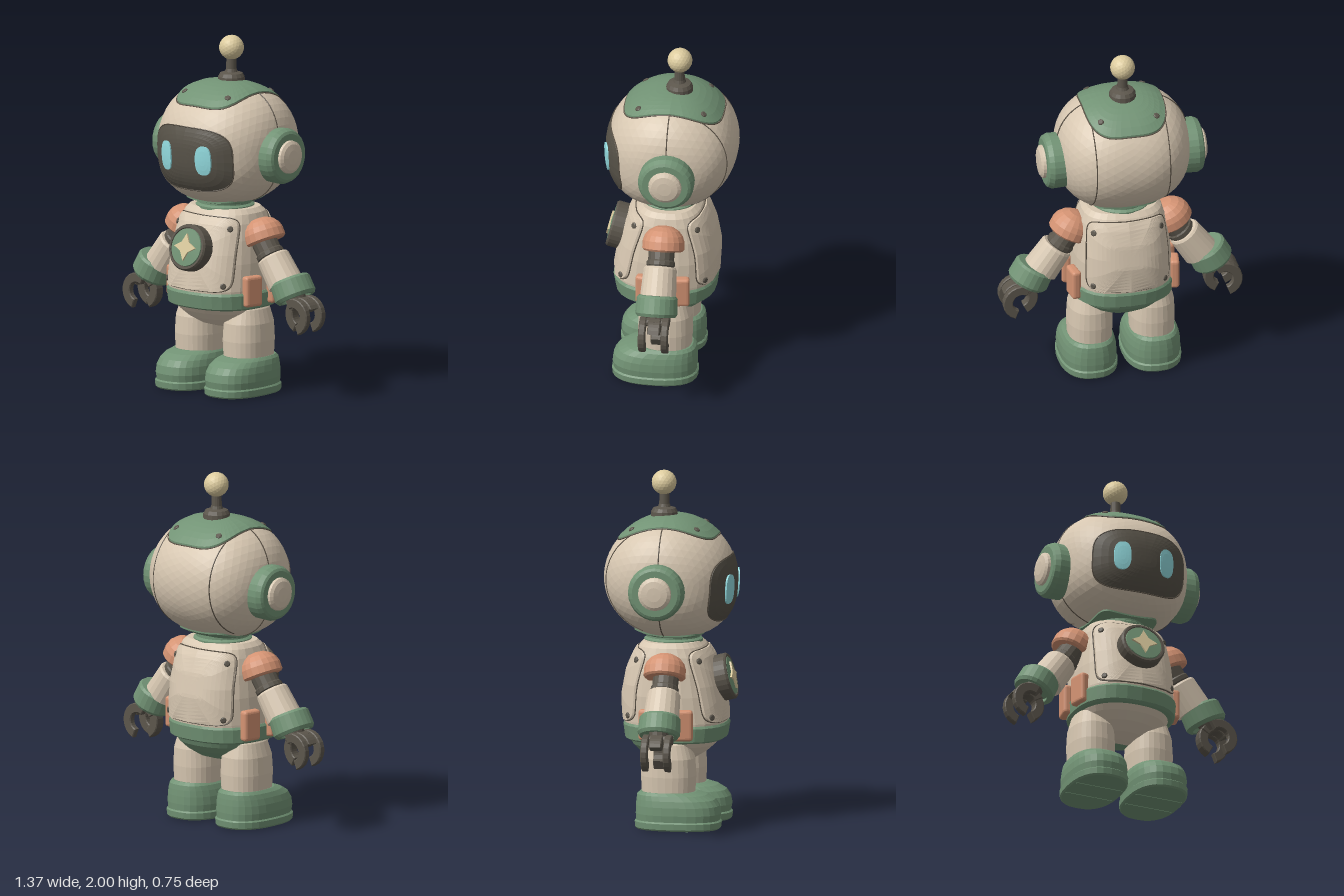
import * as THREE from 'three';
import { RoundedBoxGeometry } from 'three/addons/geometries/RoundedBoxGeometry.js';

const V = (x, y, z) => new THREE.Vector3(x, y, z);
const UP = V(0, 1, 0);
const spow = (v, e) => Math.sign(v) * Math.pow(Math.abs(v), e);

// Faceted normals for every part
function flat(geo) {
  const g = geo.index ? geo.toNonIndexed() : geo;
  g.deleteAttribute('normal');
  g.computeVertexNormals();
  return g;
}

function gridGeometry(rows) {
  const n = rows[0].length, idx = [];
  for (let i = 0; i < rows.length - 1; i++) for (let j = 0; j < n - 1; j++) {
    const a = i * n + j, b = a + n;
    idx.push(a, b, a + 1, b, b + 1, a + 1);
  }
  const g = new THREE.BufferGeometry().setFromPoints(rows.flat());
  g.setIndex(idx);
  return g;
}

// Superelliptic sections [y, halfWidth, frontZ, backZ] stacked upward, closed at both ends
function loft(sections, m = 2.4, a0 = 0, a1 = Math.PI * 2, n = 28) {
  const first = sections[0], last = sections[sections.length - 1];
  const end = s => [s[0], 0, (s[2] + s[3]) / 2, (s[2] + s[3]) / 2];
  return gridGeometry([end(first), ...sections, end(last)].map(([y, w, f, b]) =>
    Array.from({ length: n + 1 }, (_, j) => {
      const t = a0 + (a1 - a0) * j / n;
      return V(w * spow(Math.cos(t), 2 / m), y, (f + b) / 2 + (f - b) / 2 * spow(Math.sin(t), 2 / m));
    })));
}

// Rounded-rectangle outline, then a panel following a surface fn(u, v, offset)
function outline(hu, hv, e, n, r = 1) {
  return Array.from({ length: n + 1 }, (_, j) => {
    const t = j / n * Math.PI * 2;
    return [r * hu * spow(Math.cos(t), 2 / e), r * hv * spow(Math.sin(t), 2 / e)];
  });
}
function panel(fn, hu, hv, e, off, rings = 8, n = 48) {
  const rows = [];
  for (let k = 0; k <= rings; k++) rows.push(outline(hu, hv, e, n, k / rings).map(([u, v]) => fn(u, v, off)));
  rows.push(outline(hu, hv, e, n).map(([u, v]) => fn(u, v, -0.015)));
  return gridGeometry(rows);
}
const seam = (points, closed) =>
  new THREE.TubeGeometry(new THREE.CatmullRomCurve3(points, closed), points.length * 2, 0.0035, 5, closed);
const rimSeam = (fn, hu, hv, e, off) =>
  seam(outline(hu, hv, e, 48).slice(0, -1).map(([u, v]) => fn(u, v, off)), true);

// Head surface: fuller at the lower front, face more curved from side to side than the back
const H = { a: 0.377, b: 0.34, c: 0.366, n: 2.5, y: 1.404, z: -0.008 };
const headPower = (y, z) => (y < 0 && z > 0 ? 2.7 : 2);
const headDepth = (x, z) => (z > 0 ? H.c * 1.015 * (1 - 0.12 * (x / H.a) ** 2) : H.c);
const headK = x => Math.pow(Math.max(0, 1 - Math.pow(Math.abs(x / H.a), H.n)), 1 / H.n);
const headRest = (x, t, p) => Math.pow(Math.max(0, headK(x) ** p - Math.abs(t) ** p), 1 / p);
const faceFn = (cx, cy) => (u, v, off) => {
  const x = cx + u, y = cy + v - H.y;
  return V(x, y + H.y, H.z + off + headDepth(x, 1) * headRest(x, y / H.b, headPower(y, 1)));
};
const capFn = (u, v, off) => {
  const z = -0.015 - v - H.z;
  return V(u, H.y + off + H.b * headRest(u, z / headDepth(u, z), 2), z + H.z);
};
const undersideFn = (u, v, off) =>
  V(u, H.y - off - H.b * headRest(u, v / headDepth(u, v), headPower(-1, v)), v + H.z);
function headGeometry() {
  const g = new THREE.IcosahedronGeometry(1, 9), p = g.attributes.position;
  for (let i = 0; i < p.count; i++) {
    const d = V(0, 0, 0).fromBufferAttribute(p, i), q = headPower(d.y, d.z);
    const yz = Math.pow(Math.abs(d.y / H.b) ** q + Math.abs(d.z / H.c) ** q, 1 / q);
    d.divideScalar(Math.pow(Math.abs(d.x / H.a) ** H.n + yz ** H.n, 1 / H.n));
    p.setXYZ(i, d.x, d.y + H.y, d.z * headDepth(d.x, d.z) / H.c + H.z);
  }
  return g;
}

// Torso surface
const TORSO = [[0.5, 0.275, 0.3, -0.245], [0.6, 0.28, 0.315, -0.26], [0.75, 0.275, 0.292, -0.262],
  [0.88, 0.26, 0.258, -0.238], [0.97, 0.242, 0.225, -0.205], [1.02, 0.225, 0.19, -0.175], [1.045, 0.2, 0.165, -0.15]];
function torsoAt(y) {
  let i = 0;
  while (i < TORSO.length - 2 && y > TORSO[i + 1][0]) i++;
  const t = (y - TORSO[i][0]) / (TORSO[i + 1][0] - TORSO[i][0]);
  return TORSO[i].map((v, k) => v + (TORSO[i + 1][k] - v) * t);
}
const torsoFn = s => (u, v, off) => {
  const y = 0.805 + v, [, w, f, b] = torsoAt(y), x = s * u * Math.sqrt(w / 0.28);
  const k = Math.pow(1 - Math.pow(Math.abs(x / w), 2.6), 1 / 2.6);
  return V(x, y, (f + b) / 2 + s * ((f - b) / 2 * k + off));
};

export function createModel() {
  const root = new THREE.Group();
  root.name = 'robot';
  const mat = (name, color) => Object.assign(new THREE.MeshStandardMaterial({ color }), { name });
  const cream = mat('cream shell', 0xd7c7b1), green = mat('sage green', 0x729375), dark = mat('dark metal', 0x5c564c),
    glass = mat('visor glass', 0x575248), cyan = mat('cyan eye', 0x94dde1), coral = mat('coral', 0xd49373),
    gold = mat('pale gold', 0xdccb9e), line = mat('seam line', 0x5c5347);
  const add = (name, geo, material, x = 0, y = 0, z = 0, parent = root) => {
    const m = new THREE.Mesh(flat(geo), material);
    m.name = name;
    m.position.set(x, y, z);
    parent.add(m);
    return m;
  };
  // Turned part whose axis points along dir; profile is [radius, height] going up
  const turned = (name, prof, material, at, dir = UP, n = 24, parent = root) => {
    const m = add(name, new THREE.LatheGeometry(prof.map(p => new THREE.Vector2(...p)), n), material, at.x, at.y, at.z, parent);
    m.quaternion.setFromUnitVectors(UP, dir.clone().normalize());
  };
  const screw = (fn, u, v, off) => {
    const p = fn(u, v, off), e = 0.01;
    const nrm = fn(u + e, v, off).sub(p).cross(fn(u, v + e, off).sub(p));
    turned('screw', [[0.018, -0.01], [0.018, 0.003], [0.012, 0.007], [0, 0.007]], dark, p, nrm, 8);
  };

  // Head, visor, eyes, top and underside plates
  add('head', headGeometry(), cream);
  const visor = faceFn(0, 1.35);
  add('visor', panel(visor, 0.277, 0.178, 3.4, 0.006), glass);
  add('visorRim', rimSeam(visor, 0.28, 0.181, 3.4, 0.003), line);
  for (const s of [-1, 1]) add('eye', panel(faceFn(s * 0.135, 1.355), 0.046, 0.083, 2.6, 0.015, 3, 24), cyan);
  add('topPlate', panel(capFn, 0.228, 0.277, 3.2, 0.01), green);
  add('topPlateSeam', rimSeam(capFn, 0.231, 0.28, 3.2, 0.002), line);
  for (const u of [-0.16, 0.16]) for (const v of [-0.185, 0.185]) screw(capFn, u, v, 0.01);
  add('undersidePlate', panel(undersideFn, 0.18, 0.188, 5.5, 0.009, 5), green);
  const ring = outline(H.a + 0.001, H.b + 0.001, H.n, 48).slice(0, -1);
  add('headSideSeam', seam(ring.map(([x, y]) => V(x, y + H.y, -0.015)), true), line);
  for (const s of [-1, 1]) {
    const k = headK(0.21);
    add('headBackSeam', seam(Array.from({ length: 14 }, (_, i) => {
      const t = 0.95 - i * 0.165;
      return V(s * 0.21, H.y + H.b * k * Math.sin(t), H.z - H.c * k * Math.cos(t));
    }), false), line);
  }

  // Ears
  for (const s of [-1, 1]) {
    const at = V(s * 0.33, 1.365, -0.02), dir = V(s, 0, 0);
    turned('earPad', [[0.155, 0], [0.158, 0.085], [0.145, 0.112], [0.13, 0.12], [0, 0.12]], green, at, dir, 28);
    turned('earCap', [[0.096, 0.11], [0.092, 0.135], [0.075, 0.146], [0.04, 0.152], [0, 0.153]], cream, at, dir);
  }

  // Antenna
  turned('antenna', [[0.078, 1.72], [0.075, 1.765], [0.064, 1.785], [0.036, 1.793], [0.03, 1.81], [0.027, 1.88]], dark, V(0, 0, -0.042), UP, 16);
  add('antennaBall', new THREE.IcosahedronGeometry(0.07, 3), gold, 0, 1.93, -0.044);

  // Neck, torso, plates
  turned('neck', [[0.165, 1.02], [0.165, 1.05], [0.15, 1.06], [0.15, 1.1]], green, V(0, 0, 0.01), UP, 28);
  add('torso', loft(TORSO, 2.6), cream);
  for (const s of [1, -1]) {
    const fn = torsoFn(s);
    add(s > 0 ? 'chestPlate' : 'backPlate', panel(fn, 0.236, 0.202, 9, 0.014, 10), cream);
    add('plateSeam', rimSeam(fn, 0.239, 0.204, 9, 0.003), line);
    for (const u of [-0.207, 0.207]) for (const v of [-0.17, 0.145]) screw(fn, u, v, 0.014);
  }
  const belt = [[0.49, 0.278, 0.295, -0.24], [0.5, 0.29, 0.312, -0.256], [0.575, 0.294, 0.325, -0.266], [0.588, 0.284, 0.317, -0.26]];
  add('belt', loft(belt, 2.5), green);
  const pelvis = [[0.36, 0.06, 0.07, -0.05], [0.38, 0.13, 0.14, -0.115], [0.42, 0.2, 0.205, -0.175], [0.46, 0.245, 0.25, -0.215], [0.51, 0.272, 0.29, -0.238]];
  add('pelvisFront', loft(pelvis, 2.3, 0, Math.PI, 16), cream);
  add('pelvisBack', loft(pelvis, 2.3, Math.PI, Math.PI * 2, 16), green);

  // Chest badge
  const badge = new THREE.Group();
  badge.name = 'badge';
  badge.position.set(0, 0.832, 0.288);
  badge.rotation.x = -0.25;
  root.add(badge);
  const fwd = V(0, 0, 1), zero = V(0, 0, 0);
  turned('badgeRim', [[0.132, -0.03], [0.132, 0.045], [0.124, 0.056], [0.112, 0.056], [0.11, 0.045], [0, 0.045]], dark, zero, fwd, 28, badge);
  turned('badgeDisc', [[0.11, 0.03], [0.106, 0.056], [0, 0.064]], green, zero, fwd, 28, badge);
  const star = new THREE.Shape(Array.from({ length: 8 }, (_, i) => {
    const r = i % 2 ? 0.038 : 0.077, t = i * Math.PI / 4;
    return new THREE.Vector2(r * Math.cos(t), r * Math.sin(t));
  }));
  add('badgeStar', new THREE.ExtrudeGeometry(star, { depth: 0.015, bevelEnabled: false }), gold, 0, 0, 0.055, badge);

  for (const s of [-1, 1]) {
    // Arm: shoulder dome, joint, sleeve, cuff
    const z = 0.018, dir = V(s * 0.57, -0.82, 0), cuffDir = V(s * 0.46, -0.89, 0);
    turned('shoulder', [[0, -0.02], [0.108, -0.02], [0.119, -0.009], [0.118, 0.035], [0.107, 0.066], [0.084, 0.094], [0.048, 0.115], [0, 0.122]],
      coral, V(s * 0.295, 0.884, z - 0.008), V(-s * 0.42, 0.9, 0), 20);
    turned('upperArm', [[0.075, 0], [0.073, 0.1], [0.08, 0.108], [0.08, 0.13], [0.073, 0.135], [0.073, 0.18]], dark, V(s * 0.275, 0.9, z), dir, 16);
    turned('sleeve', [[0, 0], [0.086, 0], [0.094, 0.012], [0.102, 0.17], [0, 0.17]], cream, V(s * 0.36, 0.79, z), dir, 20);
    turned('cuff', [[0, 0], [0.105, 0], [0.116, 0.014], [0.12, 0.1], [0.108, 0.118], [0.088, 0.118], [0.084, 0.095], [0, 0.095]],
      green, V(s * 0.484, 0.678, z), cuffDir, 24);
    turned('wrist', [[0.06, 0], [0.045, 0.075], [0, 0.075]], dark, V(s * 0.525, 0.61, z), cuffDir, 12);

    // Claw hand: two outer fingers and an opposing thumb on a cross axle
    const finger = (name, from, to, depth, zc) => {
      const arc = (r, a, b) => Array.from({ length: 13 }, (_, i) => {
        const t = (a + (b - a) * i / 12) * Math.PI / 180;
        return new THREE.Vector2(s * r * Math.cos(t), r * Math.sin(t));
      });
      const shape = new THREE.Shape([...arc(0.1, from, to), ...arc(0.055, to, from)]);
      const g = new THREE.ExtrudeGeometry(shape, { depth, bevelSize: 0.005, bevelThickness: 0.005, bevelSegments: 1 });
      add(name, g, dark, s * 0.582, 0.485, zc - depth / 2);
    };
    finger('outerFinger', 120, -68, 0.028, z + 0.066);
    finger('outerFinger', 120, -68, 0.028, z - 0.062);
    finger('palm', 150, 30, 0.06, z);
    finger('thumb', 70, 242, 0.05, z);
    turned('axle', [[0, -0.065], [0.024, -0.065], [0.024, 0.065], [0, 0.065]], dark, V(s * 0.582, 0.562, z), fwd, 10);

    // Hip pouches
    for (const pz of [0.11, -0.08])
      add('hipPouch', new RoundedBoxGeometry(0.055, 0.175, 0.115, 2, 0.018), coral, s * 0.288, 0.598, pz).rotation.y = -s * pz * 2;

    // Leg and boot
    add('leg', loft([[0.17, 0.122, 0.16, -0.135], [0.3, 0.128, 0.168, -0.142], [0.4, 0.122, 0.162, -0.138], [0.48, 0.1, 0.135, -0.115], [0.52, 0.07, 0.1, -0.08]], 2.3), cream, s * 0.178);
    add('boot', loft([[0.045, 0.155, 0.302, -0.167], [0.09, 0.16, 0.31, -0.17], [0.135, 0.157, 0.302, -0.169], [0.17, 0.149, 0.278, -0.166],
      [0.197, 0.138, 0.232, -0.162], [0.213, 0.122, 0.175, -0.145]], 2.5), green, s * 0.183);
    add('sole', loft([[0.003, 0.155, 0.3, -0.165], [0.012, 0.163, 0.31, -0.173], [0.045, 0.165, 0.313, -0.176], [0.053, 0.157, 0.303, -0.169]], 2.5), green, s * 0.183);
    for (const gz of [0, 0.14]) add('soleRidge', new THREE.BoxGeometry(0.28, 0.006, 0.014), green, s * 0.183, 0.003, gz);
  }
  return root;
}
